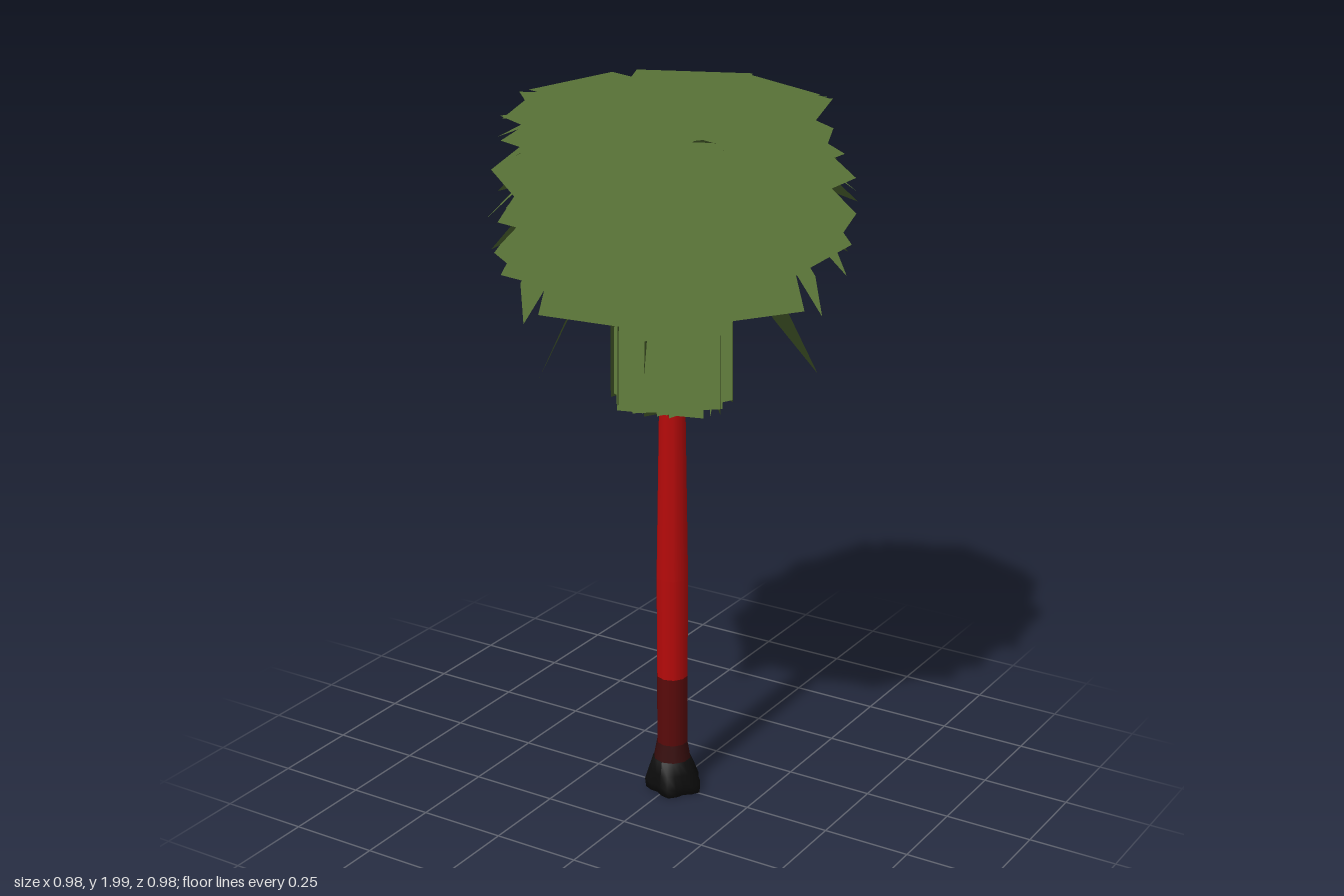
import * as THREE from 'three';
import { mergeGeometries } from 'three/addons/utils/BufferGeometryUtils.js';

const paint = (name, color, extra = {}) => {
  const m = new THREE.MeshStandardMaterial({ color, ...extra });
  m.name = name;
  return m;
};

// Small seeded generator, returns -1..1
function seeded(seed) {
  return () => {
    seed = (seed * 16807) % 2147483647;
    return (seed / 2147483647) * 2 - 1;
  };
}

// A wide leaf card bent along a profile of [radius, height] points.
// All normals point up so the foliage shades as one soft mass.
function frond(profile, width, angle, reach = 1, lift = 0) {
  const g = new THREE.PlaneGeometry(width, 1, 1, profile.length - 1);
  const p = g.attributes.position;
  const n = g.attributes.normal;
  for (let i = 0; i < p.count; i++) {
    const row = Math.floor(i / 2);
    const [r, y] = profile[row];
    p.setXYZ(i, p.getX(i), y + lift * (row > 0 ? 1 : 0.3), r * reach);
    n.setXYZ(i, 0, 1, 0);
  }
  return g.rotateY(angle);
}

// A ring of fronds merged into one mesh
function ring(name, material, { count, profile, width, turn, jitter = 0.22, drop = 0.03 }, rand) {
  const cards = [];
  for (let i = 0; i < count; i++) {
    const a = turn + (i / count) * Math.PI * 2 + rand() * jitter;
    cards.push(frond(profile, width, a, 1 + rand() * 0.03, rand() * drop));
  }
  const mesh = new THREE.Mesh(mergeGeometries(cards), material);
  mesh.name = name;
  return mesh;
}

export function createModel() {
  const model = new THREE.Group();
  model.name = 'palmTree';
  const rand = seeded(4217);

  const leaf = paint('leafGreen', 0x587236, { side: THREE.DoubleSide });
  const red = paint('barkRed', 0xb60a0a);
  const darkRed = paint('barkDarkRed', 0x5a0a0a);
  const brown = paint('barkBlackRed', 0x360c0c);
  const black = paint('rootBlack', 0x0c0c0c);

  // Trunk sections stacked from the root up: [name, material, y0, r0, y1, r1]
  const sections = [
    ['trunkCollar', brown, 0.08, 0.056, 0.145, 0.044],
    ['lowerTrunk', darkRed, 0.145, 0.044, 0.35, 0.044],
    ['middleTrunk', red, 0.35, 0.044, 0.65, 0.045],
    ['upperTrunk', red, 0.65, 0.045, 1.2, 0.036],
    ['trunkTop', red, 1.2, 0.036, 1.7, 0.025],
  ];
  for (const [name, material, y0, r0, y1, r1] of sections) {
    const g = new THREE.CylinderGeometry(r1, r0, y1 - y0, 10);
    g.translate(0.001, (y0 + y1) / 2, -0.002);
    const mesh = new THREE.Mesh(g, material);
    mesh.name = name;
    model.add(mesh);
  }

  // Flared root with lobes that swell towards the ground
  const flare = [[0, 0], [0.073, 0], [0.076, 0.025], [0.066, 0.06], [0.054, 0.095], [0, 0.095]];
  const rootGeo = new THREE.LatheGeometry(flare.map(([r, y]) => new THREE.Vector2(r, y)), 20);
  const rp = rootGeo.attributes.position;
  for (let i = 0; i < rp.count; i++) {
    const x = rp.getX(i), y = rp.getY(i), z = rp.getZ(i);
    const low = 1 - y / 0.1;
    const k = 1 + 0.13 * Math.cos(5 * Math.atan2(z, x)) * low;
    rp.setXYZ(i, x * k + 0.008 * low, y, z * k - 0.005 * low);
  }
  rootGeo.computeVertexNormals();
  const root = new THREE.Mesh(rootGeo, black);
  root.name = 'root';
  model.add(root);

  // Crown rings from the flat top fronds to the drooping lower ones
  const crown = new THREE.Group();
  crown.name = 'crown';
  const rings = [
    { count: 7, width: 0.32, profile: [[0.004, 1.95], [0.18, 1.975], [0.365, 1.985]], turn: 0, jitter: 0.1, drop: 0.01 },
    { count: 8, width: 0.33, profile: [[0.008, 1.91], [0.2, 1.96], [0.4, 1.955]], turn: 0.3, drop: 0.018 },
    { count: 9, width: 0.34, profile: [[0.008, 1.87], [0.2, 1.92], [0.33, 1.91], [0.415, 1.875]], turn: 0.1 },
    { count: 10, width: 0.34, profile: [[0.01, 1.82], [0.22, 1.88], [0.35, 1.84], [0.44, 1.775]], turn: 0.4 },
    { count: 11, width: 0.36, profile: [[0.01, 1.77], [0.22, 1.83], [0.35, 1.78], [0.455, 1.68]], turn: 0.15 },
    { count: 9, width: 0.4, profile: [[0.01, 1.72], [0.2, 1.77], [0.33, 1.71], [0.435, 1.59]], turn: 0.03 },
    { count: 6, width: 0.38, profile: [[0.01, 1.66], [0.18, 1.7], [0.3, 1.63], [0.395, 1.475]], turn: 0 },
  ];
  rings.forEach((spec, i) => crown.add(ring('frondRing' + (i + 1), leaf, spec, rand)));

  // Two steep fronds on roughly opposite sides hang lowest
  const lowProfile = [[0.02, 1.6], [0.14, 1.61], [0.24, 1.5], [0.335, 1.3]];
  for (const [degrees, reach] of [[133, 1.01], [-64, 0.95]]) {
    const low = new THREE.Mesh(frond(lowProfile, 0.5, THREE.MathUtils.degToRad(degrees), reach), leaf);
    low.name = 'lowFrond';
    crown.add(low);
  }

  // Skirt of old fronds hanging against the trunk, in two depths
  crown.add(ring('outerSkirt', leaf, {
    count: 14, width: 0.24, turn: 0.1, jitter: 0.2, drop: 0.015,
    profile: [[0.015, 1.6], [0.08, 1.56], [0.11, 1.42], [0.112, 1.167]],
  }, rand));
  crown.add(ring('innerSkirt', leaf, {
    count: 10, width: 0.25, turn: 0.3, jitter: 0.2, drop: 0.015,
    profile: [[0.015, 1.56], [0.05, 1.5], [0.075, 1.38], [0.07, 1.17]],
  }, rand));
  model.add(crown);

  return model;
}
